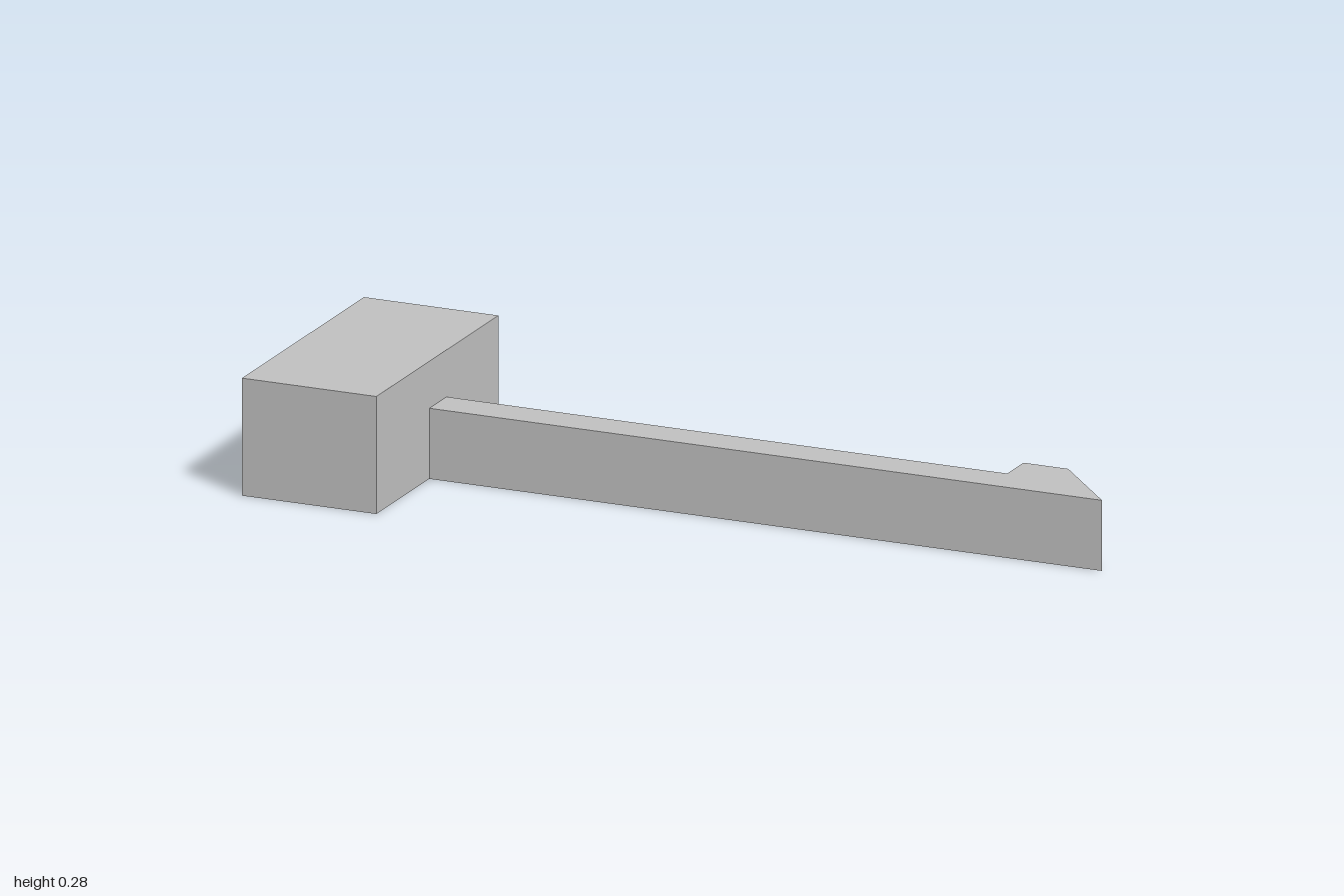
import * as THREE from 'three';

export function createModel() {
  const model = new THREE.Group();
  const grey = new THREE.MeshStandardMaterial({ color: 0xbfbfbf });
  grey.name = 'light grey';

  // Extrudes a plan outline, given as [x, z] points, up from the ground
  function addPart(name, outline, height) {
    const shape = new THREE.Shape(outline.map(([x, z]) => new THREE.Vector2(x, -z)));
    const geometry = new THREE.ExtrudeGeometry(shape, { depth: height, bevelEnabled: false });
    geometry.rotateX(-Math.PI / 2);
    const mesh = new THREE.Mesh(geometry, grey);
    mesh.name = name;
    model.add(mesh);
  }

  // Base block
  addPart('baseBlock', [[-1, 0.333], [-0.667, 0.333], [-0.667, -0.333], [-1, -0.333]], 0.278);

  // Long snap arm with a barbed hook at its tip
  addPart('hookedArm', [
    [-0.667, 0.044], [1, 0.044], [0.833, -0.139],
    [0.722, -0.139], [0.722, -0.05], [-0.667, -0.05],
  ], 0.167);

  return model;
}
